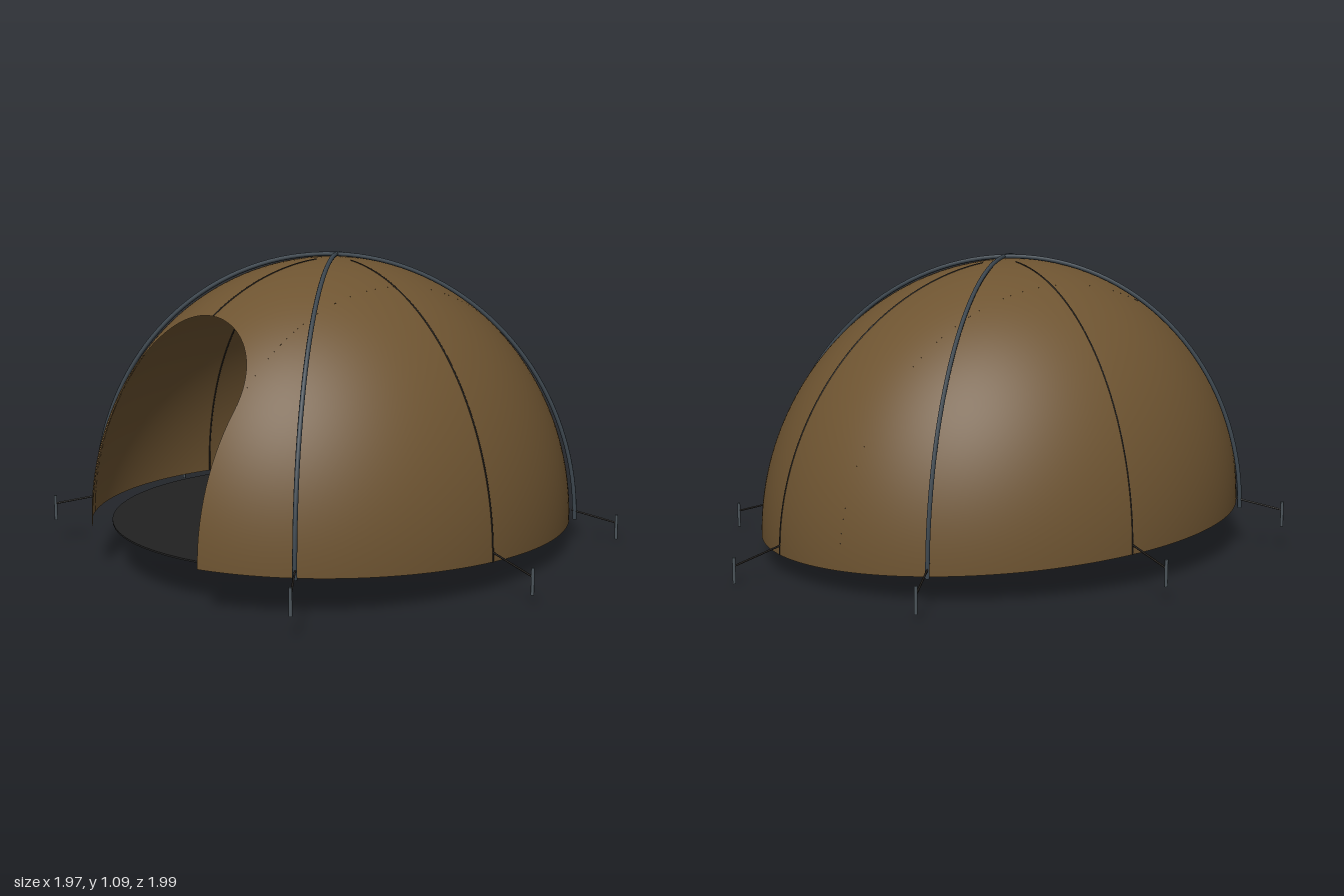
import * as THREE from 'three';

const RX = 0.8, RY = 0.955, RZ = 0.94;   // dome half sizes
const DOOR = 0.31, SPRING = 0.51, RISE = 0.26;   // door half width, arch start, arch height

// Places a part built around the dome's base centre onto the gently sloping ground.
const slope = new THREE.Matrix4().set(
  1, 0, 0, 0,
  -0.01, 1, 0.044, 0.12,
  0, 0, 1, 0.12,
  0, 0, 0, 1);

function flat(name, color, side = THREE.FrontSide) {
  const m = new THREE.MeshStandardMaterial({ color, side });
  m.name = name;
  return m;
}

// Part of the dome between two x values; each column runs over the top from front to back.
function domePanel(x0, x1, nu, door) {
  const nv = 72, pos = [], nor = [], idx = [];
  const a0 = Math.asin(x0 / RX), a1 = Math.asin(x1 / RX);
  for (let i = 0; i <= nu; i++) {
    const s = i / nu;
    const sx = Math.sin((s - 0.5) * Math.PI);
    const a = door ? Math.asin(DOOR * sx / RX) : a0 + (a1 - a0) * s;
    const arch = SPRING + RISE * Math.sqrt(Math.max(0, 1 - sx * sx));
    const b0 = door ? Math.asin(arch / (RY * Math.cos(a))) : 0;
    for (let j = 0; j <= nv; j++) {
      const b = b0 + (Math.PI - b0) * j / nv;
      const n = [Math.sin(a), Math.cos(a) * Math.sin(b), Math.cos(a) * Math.cos(b)];
      pos.push(RX * n[0], RY * n[1], RZ * n[2]);
      const v = new THREE.Vector3(n[0] / RX, n[1] / RY, n[2] / RZ).normalize();
      nor.push(v.x, v.y, v.z);
      if (i < nu && j < nv) {
        const p = i * (nv + 1) + j, q = p + nv + 1;
        idx.push(p, q, p + 1, q, q + 1, p + 1);
      }
    }
  }
  const g = new THREE.BufferGeometry();
  g.setAttribute('position', new THREE.Float32BufferAttribute(pos, 3));
  g.setAttribute('normal', new THREE.Float32BufferAttribute(nor, 3));
  g.setIndex(idx);
  return g;
}

// Tube along an elliptical arc over the dome, in the vertical plane through (x, z).
function arcTube(x, z, height, t0, t1, radius, sides) {
  const pts = [];
  for (let i = 0; i <= 40; i++) {
    const t = t0 + (t1 - t0) * i / 40;
    pts.push(new THREE.Vector3(x * Math.cos(t), height * Math.sin(t), z * Math.cos(t)));
  }
  return new THREE.TubeGeometry(new THREE.CatmullRomCurve3(pts), 72, radius, sides);
}

export function createModel() {
  const model = new THREE.Group();
  model.name = 'domeTent';
  const canvas = flat('brown canvas', 0x6e5431, THREE.DoubleSide);
  const ground = flat('dark groundsheet', 0x222222);
  const pole = flat('slate pole', 0x3c464e);
  const stakeMat = flat('grey stake', 0x4c555b);
  const cord = flat('dark cord', 0x26221e);

  const add = (geometry, material, name) => {
    geometry.applyMatrix4(slope);
    const mesh = new THREE.Mesh(geometry, material);
    mesh.name = name;
    model.add(mesh);
  };

  // Canvas: two sides and the panel over the doorway
  add(domePanel(-RX, -DOOR, 32, false), canvas, 'rightCanvas');
  add(domePanel(-DOOR, DOOR, 40, true), canvas, 'doorCanvas');
  add(domePanel(DOOR, RX, 32, false), canvas, 'leftCanvas');

  // Groundsheet
  const sheet = new THREE.CylinderGeometry(1, 1, 0.006, 72);
  sheet.scale(0.736, 1, 0.865);
  add(sheet, ground, 'groundsheet');

  // Crossed poles just outside the canvas
  for (const s of [1, -1]) {
    add(arcTube(0.578 * s, 0.68, 0.966, 0, Math.PI, 0.008, 8), pole, 'crossPole');
  }

  // Seams from near the peak to the hem, or to the top of the door
  const seams = [[RX, 0, 0], [-RX, 0, 0], [0, -RZ, 0], [0, RZ, Math.asin((SPRING + RISE) / RY)]];
  for (const [x, z, t] of seams) {
    add(arcTube(x, z, RY, t, 1.47, 0.003, 5), cord, 'seam');
  }

  // Stakes and their guy lines: start on the hem, end at the stake
  const anchors = [[0, -0.93, 0, -1.115]];
  for (const s of [1, -1]) {
    anchors.push([0.79 * s, 0, 0.98 * s, 0]);
    for (const f of [1, -1]) anchors.push([0.57 * s, 0.67 * f, 0.69 * s, 0.79 * f]);
  }
  for (const [x0, z0, x1, z1] of anchors) {
    const line = new THREE.LineCurve3(
      new THREE.Vector3(x0, 0.036, z0), new THREE.Vector3(x1, -0.006, z1));
    add(new THREE.TubeGeometry(line, 1, 0.0035, 6), cord, 'guyLine');
    const stake = new THREE.CylinderGeometry(0.006, 0.006, 0.094, 8);
    stake.translate(x1, -0.022, z1);
    add(stake, stakeMat, 'stake');
  }
  return model;
}
